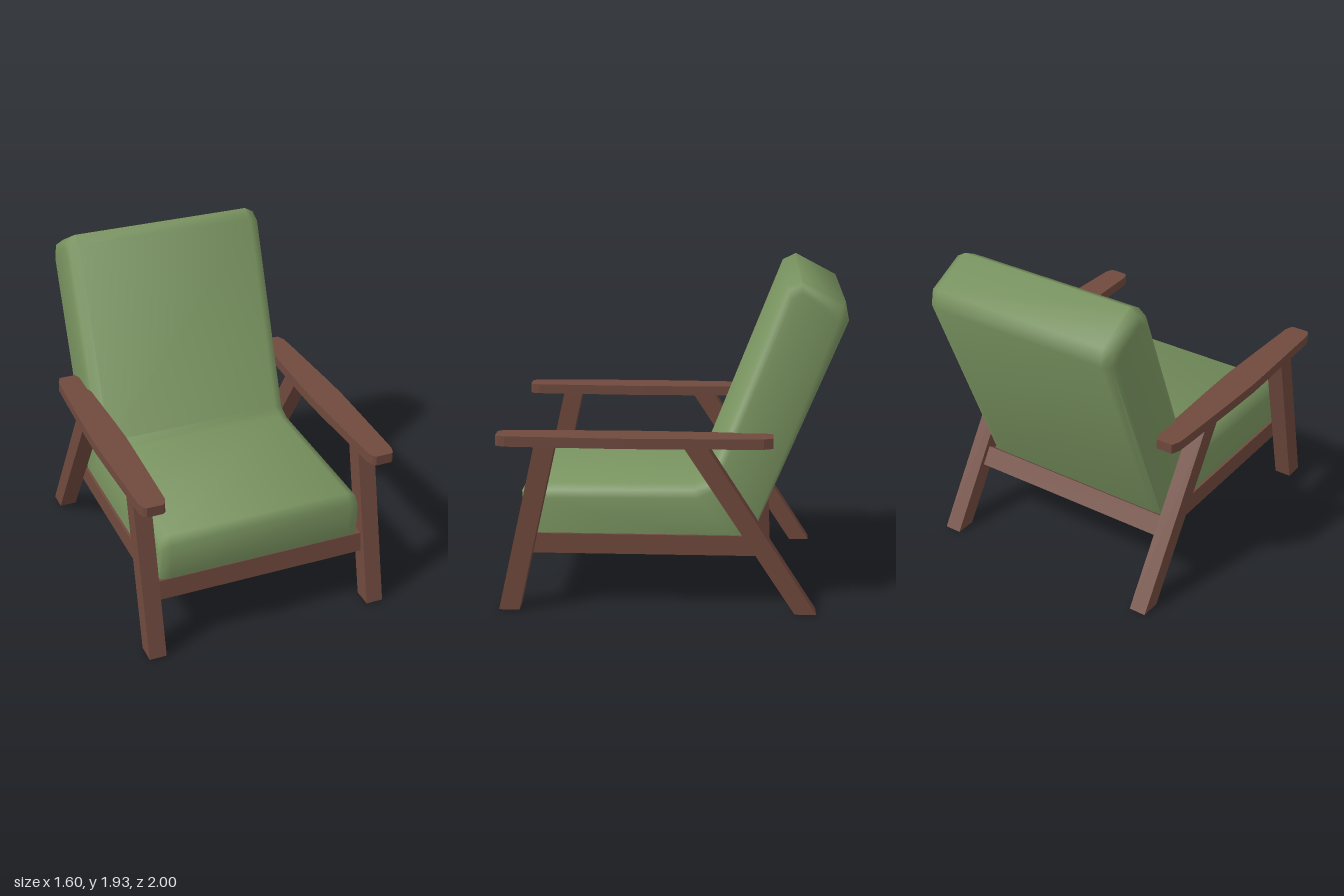
import * as THREE from 'three';
import { toCreasedNormals } from 'three/addons/utils/BufferGeometryUtils.js';

const wood = new THREE.MeshStandardMaterial({ name: 'brown wood', color: 0x6f493d });
const fabric = new THREE.MeshStandardMaterial({ name: 'green fabric', color: 0x78925f });

// Extrudes a side profile of [z, y] points from x0 to x1
function sideSlab(name, profile, x0, x1) {
  const shape = new THREE.Shape(profile.map(([z, y]) => new THREE.Vector2(z, y)));
  const geometry = new THREE.ExtrudeGeometry(shape, { depth: x1 - x0, bevelEnabled: false });
  geometry.rotateY(-Math.PI / 2).translate(x1, 0, 0);
  const mesh = new THREE.Mesh(geometry, wood);
  mesh.name = name;
  return mesh;
}

// Lofts the one-piece cushion across x, with its edges rounded in at both sides
function createCushion() {
  const full = [[0.84, 0.37], [0.862, 0.436], [0.877, 0.67], [0.835, 0.72], [-0.12, 0.73],
    [-0.2, 0.755], [-0.645, 1.89], [-0.727, 1.93], [-0.98, 1.797], [-1, 1.69], [-0.45, 0.37]];
  const edge = [[0.82, 0.37], [0.832, 0.436], [0.842, 0.62], [0.815, 0.645], [-0.15, 0.655],
    [-0.25, 0.7], [-0.68, 1.82], [-0.735, 1.85], [-0.92, 1.755], [-0.935, 1.69], [-0.43, 0.37]];
  const sections = [[-0.635, 1], [-0.62, 0.4], [-0.565, 0], [0.565, 0], [0.62, 0.4], [0.635, 1]];
  const n = full.length;
  const positions = [];
  const index = [];
  for (const [x, t] of sections) {
    full.forEach(([z, y], i) => {
      positions.push(x, THREE.MathUtils.lerp(y, edge[i][1], t), THREE.MathUtils.lerp(z, edge[i][0], t));
    });
  }
  for (let s = 0; s < sections.length - 1; s++) {
    for (let i = 0; i < n; i++) {
      const j = (i + 1) % n;
      const a = s * n + i, b = s * n + j, c = a + n, d = b + n;
      index.push(a, c, d, a, d, b);
    }
  }
  // Flat side caps
  const contour = edge.map(([z, y]) => new THREE.Vector2(z, y));
  const last = (sections.length - 1) * n;
  for (const [a, b, c] of THREE.ShapeUtils.triangulateShape(contour, [])) {
    index.push(a, b, c, last + a, last + c, last + b);
  }
  const geometry = new THREE.BufferGeometry();
  geometry.setAttribute('position', new THREE.Float32BufferAttribute(positions, 3));
  geometry.setIndex(index);
  const mesh = new THREE.Mesh(toCreasedNormals(geometry, 1), fabric);
  mesh.name = 'cushion';
  return mesh;
}

// Paddle-shaped armrest, widest in the middle, with clipped corners
function createArmrest(name, x) {
  const half = [[0.05, -0.583], [0.072, -0.53], [0.078, -0.4], [0.093, 0.05], [0.097, 0.25],
    [0.092, 0.45], [0.077, 0.94], [0.064, 0.98], [0.048, 0.995]];
  const outline = [...half, ...half.map(([w, z]) => [-w, z]).reverse()];
  const shape = new THREE.Shape(outline.map(([w, z]) => new THREE.Vector2(w, z)));
  const geometry = new THREE.ExtrudeGeometry(shape, { depth: 0.06, bevelEnabled: false });
  geometry.rotateX(Math.PI / 2);
  const mesh = new THREE.Mesh(geometry, wood);
  mesh.name = name;
  mesh.position.set(x, 1.047, 0);
  return mesh;
}

export function createModel() {
  const model = new THREE.Group();
  model.name = 'armchair';
  model.add(createCushion());

  // Slanted legs, side rails and armrests on both sides
  const frontLeg = [[1, 0], [0.775, 0.99], [0.655, 0.99], [0.88, 0]];
  const rearLeg = [[-0.72, 0], [-0.075, 0.99], [-0.21, 0.99], [-0.845, 0]];
  const sideRail = [[0.85, 0.317], [0.83, 0.436], [-0.45, 0.436], [-0.52, 0.317]];
  for (const [side, sign] of [['left', 1], ['right', -1]]) {
    const bar = (part, profile, inner, outer) => model.add(sideSlab(
      side + part, profile, Math.min(sign * inner, sign * outer), Math.max(sign * inner, sign * outer)));
    bar('FrontLeg', frontLeg, 0.65, 0.755);
    bar('RearLeg', rearLeg, 0.65, 0.755);
    bar('SideRail', sideRail, 0.595, 0.651);
    model.add(createArmrest(side + 'Armrest', sign * 0.701));
  }

  // Cross rails, tilted to follow the legs
  model.add(sideSlab('frontRail', [[0.882, 0.317], [0.866, 0.436], [0.816, 0.436], [0.832, 0.317]], -0.65, 0.65));
  model.add(sideSlab('rearRail', [[-0.533, 0.337], [-0.468, 0.438], [-0.51, 0.465], [-0.575, 0.364]], -0.65, 0.65));
  return model;
}
